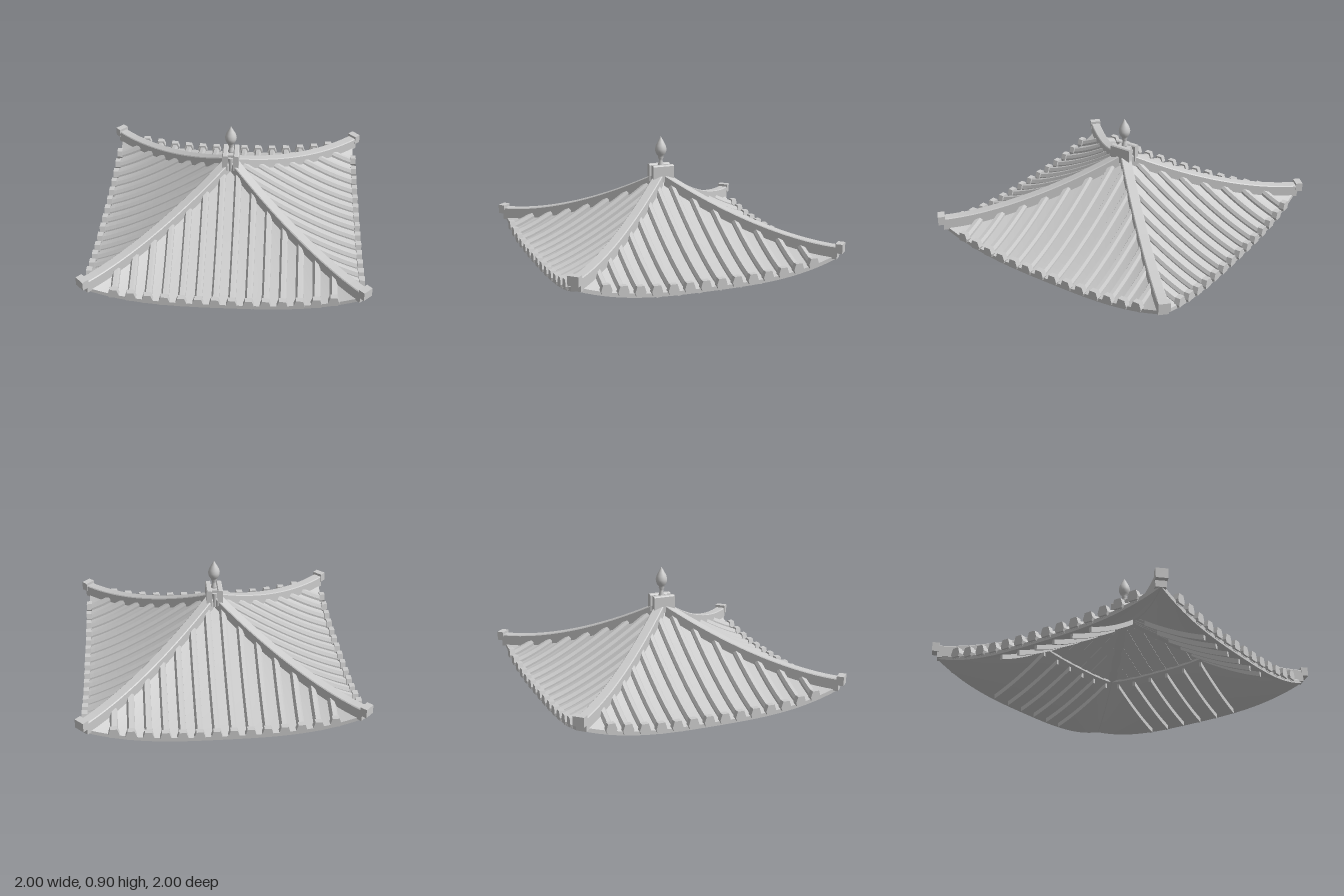
import * as THREE from 'three';

const EAVE = 0.945, INNER = 0.42;
const smooth = new THREE.MeshStandardMaterial({ color: 0xcccccc, side: THREE.DoubleSide });
const faceted = new THREE.MeshStandardMaterial({ color: 0xcccccc, flatShading: true });

// Height of the hip line, and of the roof with its sagging eaves
const hipY = d => 0.17 + 0.41 * Math.pow(Math.max(0, 1 - d / EAVE), 1.7);
const roofY = (x, d) =>
  hipY(d) - 0.12 * (d / EAVE) ** 2 * (1 - Math.min(1, Math.abs(x) / d) ** 3);

const range = (a, b, n) => Array.from({ length: n + 1 }, (_, i) => a + (b - a) * i / n);

function named(name, geometry, material) {
  const mesh = new THREE.Mesh(geometry, material);
  mesh.name = name;
  return mesh;
}

// One triangular face of the roof, following a list of [distance, drop below roof]
function slope(name, profile) {
  const n = 32, pos = [], idx = [];
  for (const [d, drop] of profile)
    for (let i = 0; i <= n; i++) {
      const x = (i / n * 2 - 1) * d;
      pos.push(x, roofY(x, d) - drop, d);
    }
  for (let j = 0; j < profile.length - 1; j++)
    for (let i = 0; i < n; i++) {
      const a = j * (n + 1) + i, b = a + n + 1;
      idx.push(a, b, a + 1, a + 1, b, b + 1);
    }
  const g = new THREE.BufferGeometry();
  g.setAttribute('position', new THREE.Float32BufferAttribute(pos, 3));
  g.setIndex(idx);
  g.computeVertexNormals();
  return named(name, g, smooth);
}

// Solid bar along z: profile points run anticlockwise, height follows a curve
function bar(name, profile, stations, x, heightAt) {
  const n = profile.length, pos = [], idx = [];
  for (const z of stations)
    for (const [px, py] of profile) pos.push(x + px, heightAt(z) + py, z);
  const last = (stations.length - 1) * n;
  for (let j = 0; j < last; j += n)
    for (let k = 0; k < n; k++) {
      const a = j + k, b = j + (k + 1) % n;
      idx.push(a, b, a + n, b, b + n, a + n);
    }
  for (let k = 1; k < n - 1; k++) idx.push(0, k + 1, k, last, last + k, last + k + 1);
  const g = new THREE.BufferGeometry();
  g.setAttribute('position', new THREE.Float32BufferAttribute(pos, 3));
  g.setIndex(idx);
  g.computeVertexNormals();
  return named(name, g, faceted);
}

const RIB = [[-0.028, -0.015], [0.028, -0.015], [0.026, 0.012], [0.013, 0.036], [-0.013, 0.036], [-0.026, 0.012]];
const CAP = [[-0.03, -0.01], [0.03, -0.01], [0.038, 0.012], [0.024, 0.056], [-0.024, 0.056], [-0.038, 0.012]];
const RAFTER = [[-0.01, -0.063], [0.01, -0.063], [0.01, -0.025], [-0.01, -0.025]];
const HIP = [[-0.036, -0.03], [0.036, -0.03], [0.036, 0.054], [0.03, 0.06], [-0.03, 0.06], [-0.036, 0.054]];

function createSide() {
  const side = new THREE.Group();
  side.name = 'roofSide';
  // Shell: upper face, eave edge, soffit and inner lining
  side.add(
    slope('roofFace', range(0.001, EAVE, 24).map(d => [d, 0])),
    slope('eaveEdge', [[EAVE, 0], [EAVE, 0.028]]),
    slope('soffit', range(EAVE, INNER, 14).map(d => [d, 0.028])),
    slope('soffitLip', [[INNER, 0.028], [INNER, 0.012]]),
    slope('innerLining', range(INNER, 0.001, 12).map(d => [d, 0.012]))
  );
  for (const s of [-1, 1]) {
    // Tile ribs with flared end caps
    for (let k = 0; k < 7; k++) {
      const x = s * (0.0575 + 0.115 * k);
      const y = d => roofY(x, d);
      side.add(bar('tileRib', RIB, range(Math.abs(x) + 0.025, 0.95, 14), x, y));
      side.add(bar('tileEndCap', CAP, [0.925, 0.965], x, () => y(EAVE)));
    }
    // Rafters under the soffit
    for (const x of [0.075, 0.224, 0.374])
      side.add(bar('rafter', RAFTER, range(0.44, 0.9, 8), s * x, d => roofY(s * x, d)));
  }
  // Hip ridge on the corner, with its end block
  const hip = new THREE.Group();
  hip.name = 'hipRidge';
  hip.add(bar('hipBeam', HIP, range(0.03, 0.945, 24).map(d => d * Math.SQRT2), 0, s => hipY(s / Math.SQRT2)));
  const block = named('hipEndBlock', new THREE.BoxGeometry(0.08, 0.066, 0.05), faceted);
  block.position.set(0, 0.217, 0.954 * Math.SQRT2);
  hip.add(block);
  hip.rotation.y = Math.PI / 4;
  side.add(hip);
  return side;
}

function createCrown() {
  const crown = new THREE.Group();
  crown.name = 'crown';
  // Two chamfered cheek plates around a core
  for (const s of [-1, 1]) {
    const plate = [[-0.02, 0.565], [0.02, 0.565], [0.02, 0.682], [0.013, 0.69], [-0.013, 0.69], [-0.02, 0.682]];
    crown.add(bar('cheekPlate', plate, [-0.08, 0.08], s * 0.04, () => 0));
  }
  const core = named('crownCore', new THREE.BoxGeometry(0.05, 0.13, 0.1), faceted);
  core.position.y = 0.615;
  crown.add(core);
  for (const s of [-1, 1]) {
    const tongue = named('crownTongue', new THREE.CylinderGeometry(0.018, 0.012, 0.11, 12), smooth);
    tongue.position.set(0, 0.605, s * 0.052);
    crown.add(tongue);
  }
  // Bud-shaped finial
  const bud = [[0, 0.67], [0.022, 0.67], [0.02, 0.69], [0.013, 0.715], [0.015, 0.73], [0.021, 0.742],
    [0.018, 0.75], [0.03, 0.763], [0.04, 0.785], [0.042, 0.805], [0.036, 0.83], [0.023, 0.855], [0.009, 0.88], [0, 0.897]];
  crown.add(named('finial', new THREE.LatheGeometry(bud.map(p => new THREE.Vector2(...p)), 24), smooth));
  return crown;
}

export function createModel() {
  const model = new THREE.Group();
  model.name = 'pavilionRoof';
  for (let i = 0; i < 4; i++) {
    const side = createSide();
    side.rotation.y = i * Math.PI / 2;
    model.add(side);
  }
  model.add(createCrown());
  return model;
}
